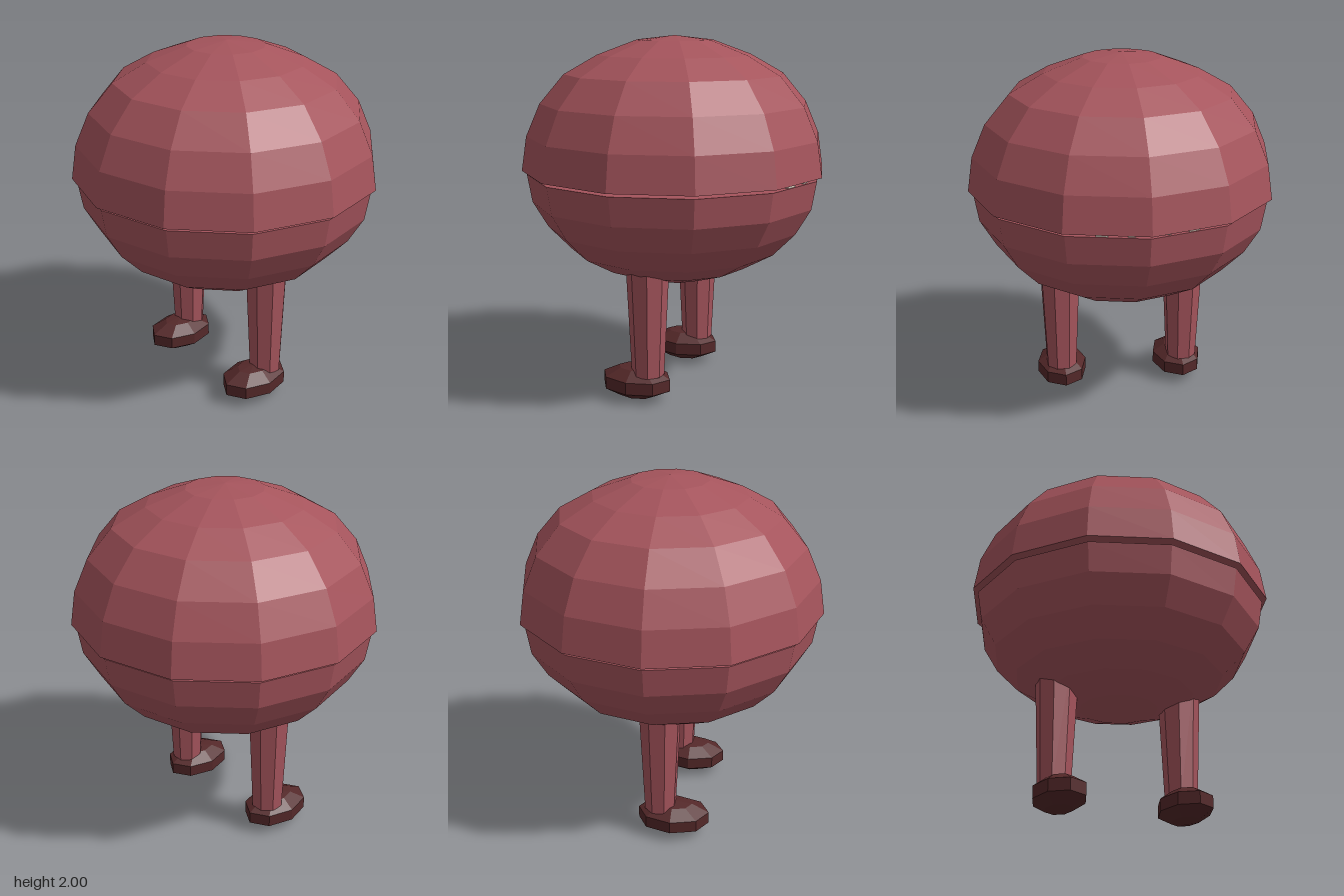
import * as THREE from 'three';

const skin = new THREE.MeshStandardMaterial({ name: 'dusty red skin', color: 0xa5545c, flatShading: true });
const shoe = new THREE.MeshStandardMaterial({ name: 'dark brown foot', color: 0x542829, flatShading: true });
const ivory = new THREE.MeshStandardMaterial({ name: 'ivory teeth', color: 0xd8d0c0, flatShading: true });

// Faceted solid of revolution; profile runs from the bottom axis to the top axis
function turned(name, profile, sides, material) {
  const points = profile.map(([r, y]) => new THREE.Vector2(r, y));
  const mesh = new THREE.Mesh(new THREE.LatheGeometry(points, sides), material);
  mesh.name = name;
  return mesh;
}

export function createModel() {
  const model = new THREE.Group();
  model.name = 'roundCreature';

  // Upper half of the body, slightly wider than the lower half
  model.add(turned('upperBody', [
    [0, 1.262], [0.857, 1.258], [0.828, 1.45], [0.75, 1.63], [0.615, 1.79],
    [0.43, 1.895], [0.215, 1.975], [0, 2],
  ], 12, skin));

  // Lower half of the body
  model.add(turned('lowerBody', [
    [0, 0.625], [0.22, 0.643], [0.42, 0.71], [0.59, 0.805], [0.717, 0.935],
    [0.803, 1.08], [0.83, 1.238], [0, 1.243],
  ], 12, skin));

  // Core joining the two halves inside the gap
  const core = new THREE.Mesh(new THREE.CylinderGeometry(0.42, 0.42, 0.03, 12), skin);
  core.name = 'mouthCore';
  core.position.y = 1.252;
  model.add(core);

  // Small teeth in the gap at the back
  for (let i = 0; i < 4; i++) {
    const angle = Math.PI + (i - 1.5) * 0.2;
    const tooth = new THREE.Mesh(new THREE.BoxGeometry(0.06, 0.03, 0.03), ivory);
    tooth.name = 'tooth';
    tooth.position.set(Math.sin(angle) * 0.78, 1.25, Math.cos(angle) * 0.78);
    tooth.rotation.y = angle;
    model.add(tooth);
  }

  // Legs and feet
  for (const side of [1, -1]) {
    const name = side > 0 ? 'left' : 'right';
    const leg = new THREE.Mesh(new THREE.CylinderGeometry(0.121, 0.09, 0.67, 8), skin);
    leg.name = name + 'Leg';
    leg.position.set(side * 0.362, 0.485, 0.005);
    leg.rotation.y = Math.PI / 8;
    model.add(leg);

    const foot = turned(name + 'Foot', [
      [0, 0], [0.52, 0.016], [1, 0.062], [1, 0.13], [0.52, 0.178], [0, 0.19],
    ], 8, shoe);
    foot.scale.set(0.143, 1, 0.203);
    foot.position.set(side * 0.352, 0, 0.08);
    model.add(foot);
  }

  return model;
}
